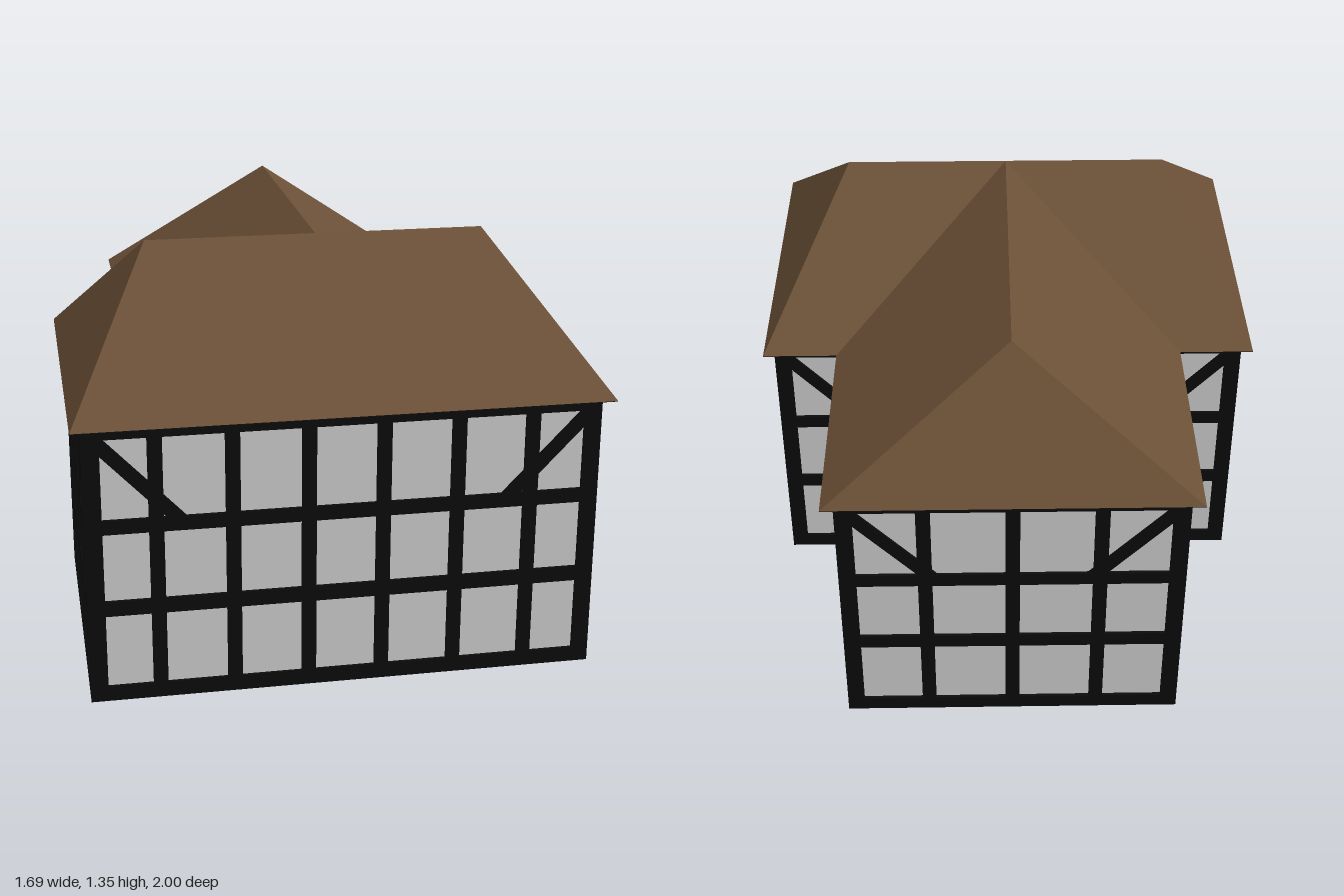
import * as THREE from 'three';

const plaster = new THREE.MeshStandardMaterial({ color: 0xcccccc });
const timber = new THREE.MeshStandardMaterial({ color: 0x0b0b0b });
const shingle = new THREE.MeshStandardMaterial({ color: 0x6b5037, flatShading: true, side: THREE.DoubleSide });

const WALL_TOP = 0.92, RIDGE = 1.345, DEPTH = 0.03, POST = 0.046;
const RAILS = [[0, 0.05], [0.293, 0.343], [0.568, 0.615], [0.877, WALL_TOP]];

// T-shaped outline [x, z], counter-clockwise seen from above
const outline = (mx, front, back, wx, end) => [
  [-mx, front], [mx, front], [mx, back], [wx, back],
  [wx, end], [-wx, end], [-wx, back], [-mx, back],
];

const toShape = (points) => new THREE.Shape(points.map(([x, z]) => new THREE.Vector2(x, -z)));

// Upright slab with a T-shaped plan between two heights
function slab(name, points, y0, y1, material) {
  const geo = new THREE.ExtrudeGeometry(toShape(points), { depth: y1 - y0, bevelEnabled: false });
  geo.rotateX(-Math.PI / 2);
  geo.translate(0, y0, 0);
  const mesh = new THREE.Mesh(geo, material);
  mesh.name = name;
  return mesh;
}

function beam(name, w, h, d, x, y, z) {
  const mesh = new THREE.Mesh(new THREE.BoxGeometry(w, h, d), timber);
  mesh.name = name;
  mesh.position.set(x, y, z);
  return mesh;
}

// Timber frame of one wall: local x runs along the wall, local z points outward
function wallFrame(name, [x0, z0], [x1, z1], posts, braceStart, braceEnd) {
  const g = new THREE.Group();
  g.name = name;
  const length = Math.hypot(x1 - x0, z1 - z0);
  for (const [a, b] of RAILS) {
    g.add(beam('rail', length, b - a, DEPTH, length / 2, (a + b) / 2, -DEPTH / 2));
  }
  for (const u of posts) {
    g.add(beam('post', POST, WALL_TOP, DEPTH, u, WALL_TOP / 2, -DEPTH / 2));
  }
  // Diagonal braces fall from the upper corners to the rail below
  const run = 0.278, drop = 0.293;
  const addBrace = (u, slope) => {
    const b = beam('brace', Math.hypot(run, drop), 0.044, DEPTH, u, 0.739, -DEPTH / 2 - 0.001);
    b.rotation.z = slope * Math.atan2(drop, run);
    g.add(b);
  };
  if (braceStart) addBrace(0.027 + run / 2, -1);
  if (braceEnd) addBrace(length - 0.027 - run / 2, 1);
  g.position.set(x0, 0, z0);
  g.rotation.y = Math.atan2(z0 - z1, x1 - x0);
  return g;
}

// Roof made of flat convex faces, each fanned and turned to face upward
function roof() {
  const E = WALL_TOP, R = RIDGE;
  const ex = 0.845, wx = 0.593, zf = 1, zb = -0.19, zw = -1;
  const rx = 0.56, rz = 0.403, wz = -0.71;
  const faces = [
    [[-ex, E, zf], [ex, E, zf], [rx, R, rz], [-rx, R, rz]],   // front slope
    [[-wx, E, zw], [wx, E, zw], [0, R, wz]],                  // wing hip
  ];
  for (const s of [-1, 1]) {
    faces.push([[s * ex, E, zf], [s * ex, E, zb], [s * rx, R, rz]]);                     // side hip
    faces.push([[s * ex, E, zb], [s * wx, E, zb], [0, R, rz], [s * rx, R, rz]]);         // back slope
    faces.push([[s * wx, E, zb], [s * wx, E, zw], [0, R, wz], [0, R, rz]]);              // wing slope
  }
  const pts = [];
  for (const face of faces) {
    const v = face.map((p) => new THREE.Vector3(...p));
    for (let i = 1; i < v.length - 1; i++) {
      const tri = new THREE.Triangle(v[0], v[i], v[i + 1]);
      const up = tri.getNormal(new THREE.Vector3()).y > 0;
      pts.push(tri.a, ...(up ? [tri.b, tri.c] : [tri.c, tri.b]));
    }
  }
  const geo = new THREE.BufferGeometry().setFromPoints(pts);
  geo.computeVertexNormals();
  const mesh = new THREE.Mesh(geo, shingle);
  mesh.name = 'roof';
  return mesh;
}

export function createModel() {
  const house = new THREE.Group();
  house.name = 'timberFramedHouse';

  const corners = outline(0.813, 0.954, -0.14, 0.555, -0.965);
  const inset = 0.01;
  const inner = outline(0.813 - inset, 0.954 - inset, -0.14 + inset, 0.555 - inset, -0.965 + inset);
  house.add(slab('plasterWalls', inner, 0.01, WALL_TOP - 0.01, plaster));
  house.add(slab('floor', inner, 0, 0.01, timber));

  // Eaves closing the roof from below
  const soffit = new THREE.Mesh(new THREE.ShapeGeometry(toShape(outline(0.845, 1, -0.19, 0.593, -1))), timber.clone());
  soffit.material.side = THREE.DoubleSide;
  soffit.name = 'soffit';
  soffit.rotation.x = -Math.PI / 2;
  soffit.position.y = WALL_TOP - 0.002;
  house.add(soffit);

  // Wall frames, one per edge of the plan
  const sidePosts = [0.222, 0.45, 0.64, 0.874];
  const wingPosts = [0.125, 0.353, 0.605];
  const flip = (posts, length) => posts.map((u) => length - u);
  const frames = [
    ['frontFrame', [-0.592, -0.355, -0.118, 0.118, 0.355, 0.592].map((x) => x + 0.813), true, true],
    ['rightFrame', sidePosts, true, true],
    ['rightReturnFrame', [], true, false],
    ['rightWingFrame', wingPosts, false, true],
    ['backFrame', [0.275, 0.555, 0.835], true, true],
    ['leftWingFrame', flip(wingPosts, 0.825), true, false],
    ['leftReturnFrame', [], false, true],
    ['leftFrame', flip(sidePosts, 1.094), true, true],
  ];
  frames.forEach(([name, posts, b0, b1], i) => {
    house.add(wallFrame(name, corners[i], corners[(i + 1) % corners.length], posts, b0, b1));
  });

  // Posts at the outer corners, including those of the wing
  const cw = 0.055, cd = 0.045;
  for (const [x, z, toward] of [[0.813, 0.954, -1], [0.813, -0.14, 1], [0.555, -0.965, 1]]) {
    for (const s of [-1, 1]) {
      house.add(beam('cornerPost', cw, WALL_TOP, cd, s * (x - cw / 2), WALL_TOP / 2, z + toward * cd / 2));
    }
  }

  house.add(roof());
  return house;
}
